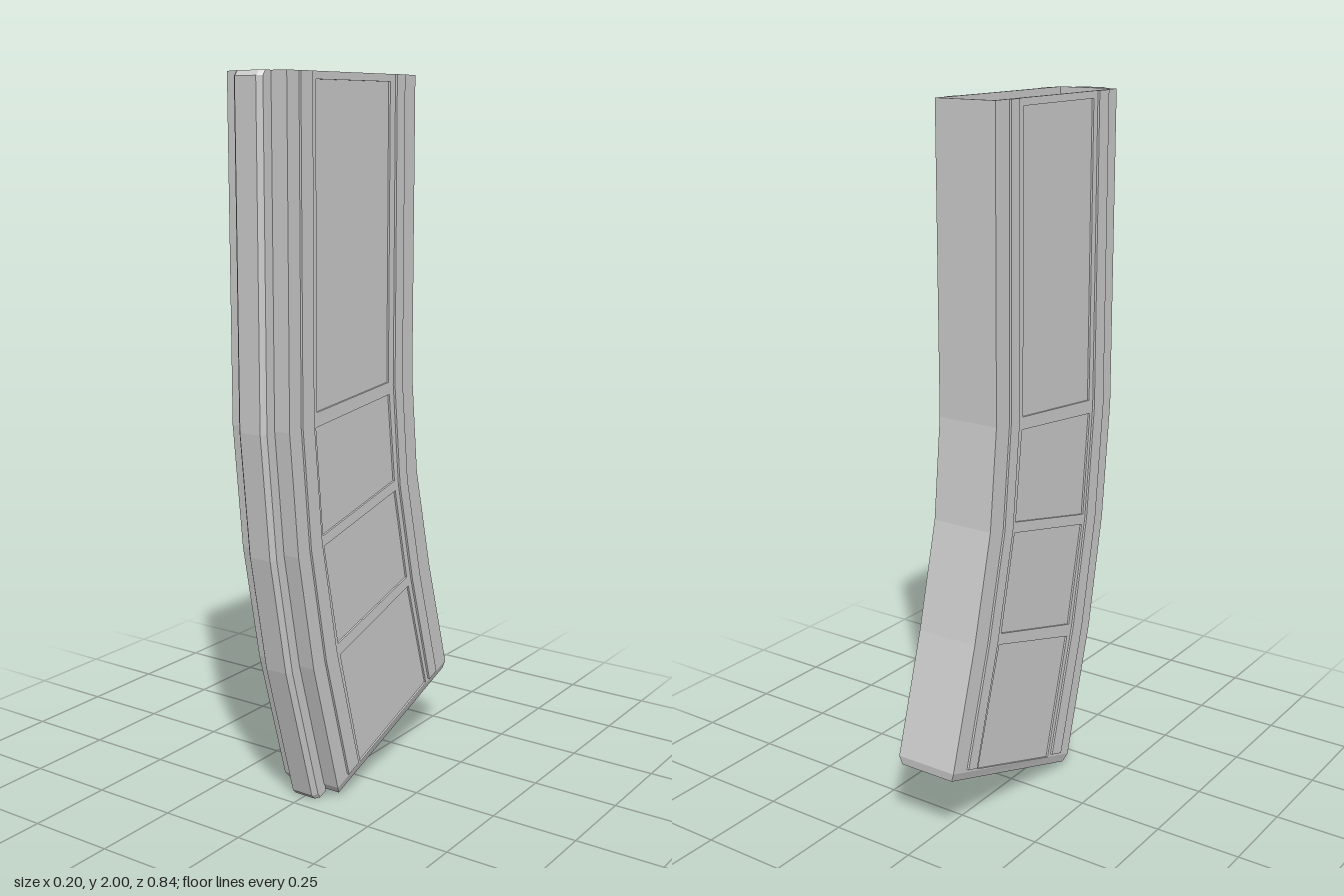
import * as THREE from 'three';

// Stations down the curved body: [front z, front y, back z, back y]
const STATIONS = [
  [0.38, 2, -0.205, 2],
  [0.38, 1.1, -0.205, 1.165],
  [0.345, 0.76, -0.235, 0.88],
  [0.28, 0.43, -0.31, 0.58],
  [0.16, 0.016, -0.42, 0.218],
];
const OUTER = 0.093, INNER = 0.087, END = 3.94;

const material = new THREE.MeshStandardMaterial({ color: 0xcccccc, flatShading: true });

// Point [z, y] at u (0 front, 1 back) and v (0 top, 4 bottom)
function at(u, v) {
  const i = Math.min(Math.floor(v), 3), t = v - i;
  const s = STATIONS[i].map((a, k) => a + (STATIONS[i + 1][k] - a) * t);
  return [s[0] + (s[2] - s[0]) * u, s[1] + (s[3] - s[1]) * u];
}

// Outline of a band that follows the curve between two u values
function band(u0, u1, v1) {
  const vs = [0, 1, 2, 3, v1];
  return [...vs.map(v => at(u0, v)), ...vs.reverse().map(v => at(u1, v))];
}

// Side outline [z, y] extruded across x
function prism(outline, x0, x1, holes = []) {
  const toVectors = pts => pts.map(p => new THREE.Vector2(...p));
  const shape = new THREE.Shape(toVectors(outline));
  holes.forEach(h => shape.holes.push(new THREE.Path(toVectors(h))));
  return new THREE.ExtrudeGeometry(shape, { depth: x1 - x0, bevelEnabled: false })
    .rotateY(-Math.PI / 2).translate(x1, 0, 0);
}

// Capped skin over rings of [x, u, v], listed from top to bottom
function loft(rings) {
  const n = rings[0].length, positions = [], index = [];
  for (const ring of rings) {
    for (const [x, u, v] of ring) {
      const [z, y] = at(u, v);
      positions.push(x, y, z);
    }
  }
  for (let r = 0; r < rings.length - 1; r++) {
    for (let i = 0; i < n; i++) {
      const a = r * n + i, b = r * n + (i + 1) % n;
      index.push(a, a + n, b, b, a + n, b + n);
    }
  }
  const last = (rings.length - 1) * n;
  for (let i = 1; i < n - 1; i++) index.push(0, i, i + 1, last, last + i + 1, last + i);
  const g = new THREE.BufferGeometry();
  g.setAttribute('position', new THREE.Float32BufferAttribute(positions, 3));
  g.setIndex(index);
  const flat = g.toNonIndexed();
  flat.computeVertexNormals();
  return flat;
}

export function createModel() {
  const model = new THREE.Group();
  const add = (name, geometry) => {
    const mesh = new THREE.Mesh(geometry, material);
    mesh.name = name;
    model.add(mesh);
  };

  // Recessed panels, corners as [z, y]
  const panels = [
    [[0.26, 1.98], [-0.08, 1.98], [-0.08, 1.165], [0.26, 1.135]],
    [[0.265, 1.095], [-0.085, 1.13], [-0.115, 0.875], [0.235, 0.795]],
    [[0.23, 0.765], [-0.12, 0.845], [-0.185, 0.57], [0.165, 0.47]],
    [[0.155, 0.435], [-0.195, 0.54], [-0.3, 0.205], [0.055, 0.08]],
  ];

  // Side walls with panels and raised strips, mirrored
  for (const [side, s] of [['left', 1], ['right', -1]]) {
    const slab = (outline, a, b, holes) =>
      prism(outline, Math.min(a * s, b * s), Math.max(a * s, b * s), holes);
    add(side + 'Wall', slab(band(0, 1, END), INNER, OUTER, panels));
    panels.forEach((p, i) => add(side + 'Panel' + (i + 1), slab(p, 0.082, INNER + 0.0005)));
    add(side + 'FrontStrip', slab(band(0.085, 0.17, 3.92), OUTER - 0.001, 0.099));
    add(side + 'BackStrip', slab(band(0.829, 0.897, 3.92), OUTER - 0.001, 0.099));
  }

  // Narrow walls
  add('frontWall', prism(band(0, 0.01, END), -INNER, INNER));
  add('backWall', prism(band(0.99, 1, END), -INNER, INNER));

  // Floor inside the straight upper part
  add('innerFloor', new THREE.BoxGeometry(INNER * 2, 0.01, 0.58).translate(0, 1.16, 0.0875));

  // Base with chamfered lower edge
  const baseRing = (w, inset, v) => [[-w, 1 - inset, v], [-w, inset, v], [w, inset, v], [w, 1 - inset, v]];
  add('base', loft([baseRing(OUTER, 0, END), baseRing(0.085, 0.015, 4)]));

  // Chamfered rib down the front
  const ribRing = (v, d) => [
    [-0.045, 0.005, v], [-0.045, -0.055 * d, v], [-0.033, -0.077 * d, v],
    [0.033, -0.077 * d, v], [0.045, -0.055 * d, v], [0.045, 0.005, v],
  ];
  add('frontRib', loft([
    ribRing(0, 0.7), ribRing(0.015, 1), ribRing(1, 1), ribRing(2, 1),
    ribRing(3, 1), ribRing(3.96, 1), ribRing(4, 0.8),
  ]));

  return model;
}
